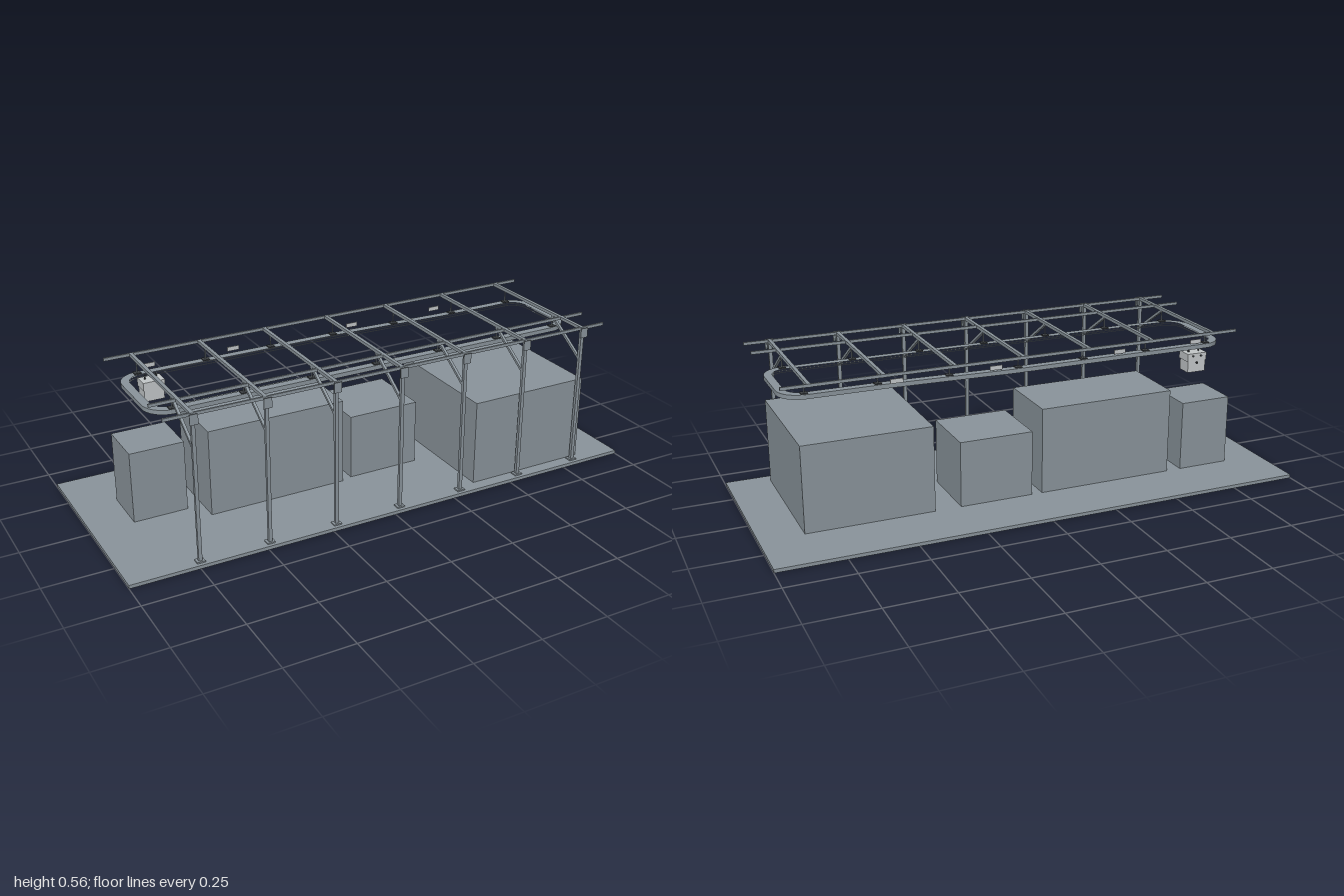
import * as THREE from 'three';

export function createModel() {
  const root = new THREE.Group();
  const mat = (name, color) => new THREE.MeshStandardMaterial({ name, color });
  const steel = mat('steel grey', 0x8a949b);
  const light = mat('light grey', 0xc3c7c9);
  const dark = mat('dark grey', 0x3c4043);

  const add = (name, geo, material, parent = root) => {
    const m = new THREE.Mesh(geo, material);
    m.name = name;
    parent.add(m);
    return m;
  };
  // box given by its limits on each axis
  const box = (name, x0, x1, y0, y1, z0, z1, material = steel, parent = root) => {
    const m = add(name, new THREE.BoxGeometry(x1 - x0, y1 - y0, z1 - z0), material, parent);
    m.position.set((x0 + x1) / 2, (y0 + y1) / 2, (z0 + z1) / 2);
    return m;
  };
  const rod = (name, x, z, y0, y1, r, material, parent) => {
    const m = add(name, new THREE.CylinderGeometry(r, r, y1 - y0, 16), material, parent);
    m.position.set(x, (y0 + y1) / 2, z);
    return m;
  };

  // floor and machine blocks
  const floor = 0.013;
  box('floor', -1, 1, 0, floor, -0.39, 0.39);
  [
    [-0.845, -0.643, 0.28, 0.015],
    [-0.585, -0.055, 0.34, 0.098],
    [-0.015, 0.265, 0.26, 0.085],
    [0.363, 0.84, 0.336, 0.343],
  ].forEach(([x0, x1, h, z1]) => box('machineBlock', x0, x1, floor, h, -0.169, z1));

  // centreline of the overhead track; the back run steps inward toward +x
  const corners = [
    [-0.807, 0.185], [0.869, 0.185], [0.869, -0.12], [0.5, -0.12],
    [0.05, -0.141], [-0.807, -0.141],
  ];
  const radii = [0.07, 0.07, 0.07, 0.03, 0.03, 0.07];
  const backZ = (x) => -0.141 + 0.021 * THREE.MathUtils.clamp((x - 0.05) / 0.45, 0, 1);

  const centre = [];
  corners.forEach(([x, y], i) => {
    const p = new THREE.Vector2(x, y);
    const toward = (j) => new THREE.Vector2(...corners[(j + 6) % 6]).sub(p).normalize();
    const a = toward(i - 1).multiplyScalar(radii[i]).add(p);
    const b = toward(i + 1).multiplyScalar(radii[i]).add(p);
    // control handles that approximate a circular bend
    const c = new THREE.CubicBezierCurve(a, a.clone().lerp(p, 0.55), b.clone().lerp(p, 0.55), b);
    centre.push(...c.getPoints(10));
  });
  const offsetLoop = (d) => centre.map((p, i) => {
    const n = centre.length;
    const t = centre[(i + 1) % n].clone().sub(centre[(i + n - 1) % n]).normalize();
    return new THREE.Vector2(p.x - t.y * -d * -1, p.y + t.x * d);
  });
  const ring = (name, d0, d1, y0, y1, parent) => {
    const shape = new THREE.Shape(offsetLoop(d1));
    shape.holes.push(new THREE.Path(offsetLoop(d0)));
    const g = new THREE.ExtrudeGeometry(shape, { depth: y1 - y0, bevelEnabled: false });
    g.rotateX(Math.PI / 2);
    g.translate(0, y1, 0);
    add(name, g, steel, parent);
  };

  // track: channel section, slotted underneath
  const track = new THREE.Group();
  track.name = 'overheadTrack';
  root.add(track);
  ring('trackTop', -0.015, 0.015, 0.498, 0.502, track);
  ring('trackOuterWall', 0.012, 0.015, 0.486, 0.498, track);
  ring('trackInnerWall', -0.015, -0.012, 0.486, 0.498, track);
  ring('trackOuterLip', 0.005, 0.012, 0.486, 0.488, track);
  ring('trackInnerLip', -0.012, -0.005, 0.486, 0.488, track);

  // supporting frames
  for (let i = 0; i < 7; i++) {
    const x = -0.742 + i * 0.2575;
    const frame = new THREE.Group();
    frame.name = 'supportFrame';
    root.add(frame);
    const part = (name, w, y0, y1, z0, z1) =>
      box(name, x - w / 2, x + w / 2, y0, y1, z0, z1, steel, frame);

    part('column', 0.013, floor, 0.548, 0.358, 0.37);
    part('footPlate', 0.03, floor, 0.018, 0.35, 0.377);
    part('crossBeam', 0.013, 0.547, 0.559, -0.196, 0.368);
    part('bracketPlate', 0.03, 0.521, 0.558, 0.376, 0.379);
    part('bracketBlock', 0.018, 0.526, 0.546, 0.37, 0.376);

    // diagonal brace from column to beam
    const dy = 0.112, dz = 0.172;
    const brace = add('diagonalBrace',
      new THREE.BoxGeometry(0.01, 0.01, Math.hypot(dy, dz)), steel, frame);
    brace.position.set(x, 0.49, 0.273);
    brace.rotation.x = Math.atan2(dy, dz);

    // track hangers, front and back
    [0.187, backZ(x)].forEach((z) => {
      rod('hangerRod', x, z, 0.502, 0.548, 0.0025, steel, frame);
      box('hangerClamp', x - 0.012, x + 0.012, 0.502, 0.506, z - 0.012, z + 0.012, dark, frame);
    });
  }

  // long rails tying the frames together
  [-0.194, 0.24, 0.363].forEach((z) =>
    box('longRail', -0.842, 0.9, 0.548, 0.559, z - 0.0035, z + 0.0035));

  // small tag plates behind the track
  [-0.692, -0.369, 0.122, 0.489].forEach((x) =>
    box('tagPlate', x - 0.023, x + 0.023, 0.509, 0.525, -0.159, -0.156, light));

  // suspended carrier unit
  const carrier = new THREE.Group();
  carrier.name = 'carrier';
  root.add(carrier);
  box('carrierHead', -0.734, -0.654, 0.444, 0.474, -0.17, -0.107, light, carrier);
  box('carrierBody', -0.731, -0.657, 0.401, 0.444, -0.168, -0.111, light, carrier);
  box('carrierBase', -0.727, -0.661, 0.4, 0.401, -0.164, -0.115, dark, carrier);
  [-0.715, -0.673].forEach((x) => rod('carrierHanger', x, -0.141, 0.474, 0.49, 0.003, dark, carrier));
  [[-0.711, 0.464], [-0.677, 0.464], [-0.694, 0.437]].forEach(([x, y]) => {
    const k = add('knob', new THREE.CylinderGeometry(0.004, 0.004, 0.006, 16), dark, carrier);
    k.rotation.x = Math.PI / 2;
    k.position.set(x, y, -0.17);
  });
  return root;
}
